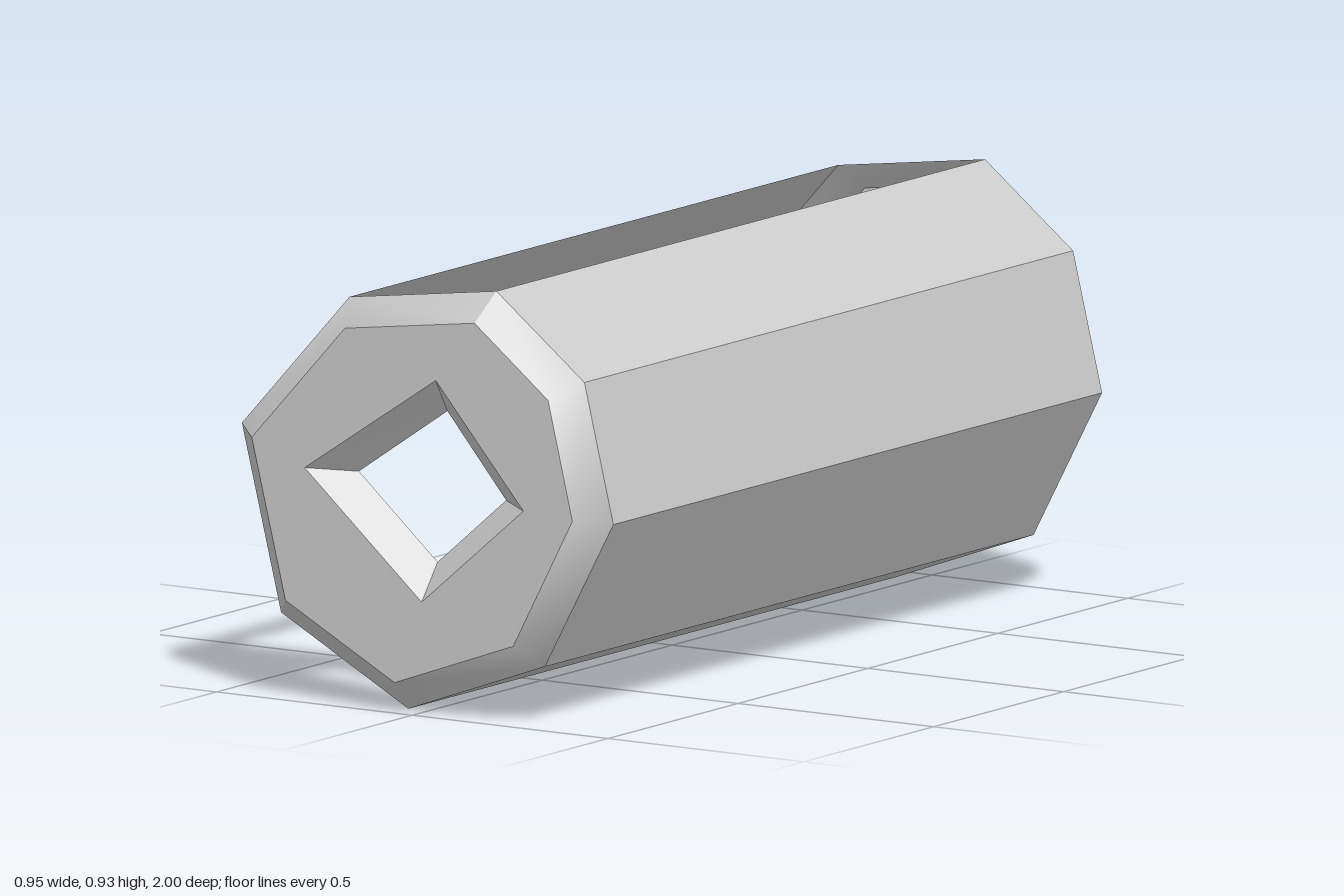
import * as THREE from 'three';
import { toCreasedNormals } from 'three/addons/utils/BufferGeometryUtils.js';

// Cross-sections, clockwise seen from the front
const outer = [[-0.475, 0.576], [-0.2, 0.876], [0.175, 0.926], [0.4, 0.751], [0.474, 0.451], [0.299, 0.126], [-0.05, 0], [-0.375, 0.176]];
const rim = [[-0.41, 0.56], [-0.172, 0.82], [0.159, 0.864], [0.347, 0.716], [0.409, 0.46], [0.258, 0.175], [-0.045, 0.066], [-0.324, 0.216]];
const holeWide = [[-0.275, 0.508], [0.06, 0.73], [0.284, 0.47], [0.024, 0.247]];
const holeNarrow = [[-0.176, 0.501], [0.05, 0.654], [0.2, 0.476], [0.025, 0.325]];
const END = 1, SHOULDER = 0.94;

// Quads between a back ring and a front ring, with some sides left open
function loft(back, zBack, front, zFront, open = []) {
  const pos = [];
  const n = back.length;
  for (let i = 0; i < n; i++) {
    if (open.includes(i)) continue;
    const j = (i + 1) % n;
    const a = [...back[i], zBack], b = [...front[i], zFront];
    const c = [...front[j], zFront], d = [...back[j], zBack];
    pos.push(...a, ...b, ...c, ...a, ...c, ...d);
  }
  const g = new THREE.BufferGeometry();
  g.setAttribute('position', new THREE.Float32BufferAttribute(pos, 3));
  return toCreasedNormals(g, THREE.MathUtils.degToRad(30.5));
}

const toVectors = (ring) => ring.map(([x, y]) => new THREE.Vector2(x, y));

// Flat end plate with the diamond opening
function plate(sign) {
  const shape = new THREE.Shape(toVectors(rim));
  shape.holes.push(new THREE.Path(toVectors(holeWide)));
  const g = new THREE.ShapeGeometry(shape);
  if (sign < 0) {
    const index = g.index.array;
    for (let i = 0; i < index.length; i += 3) {
      [index[i], index[i + 1]] = [index[i + 1], index[i]];
    }
    g.computeVertexNormals();
  }
  return g.translate(0, 0, sign * END);
}

export function createModel() {
  const grey = new THREE.MeshStandardMaterial({ color: 0xcccccc, side: THREE.DoubleSide });
  grey.name = 'light grey';
  const model = new THREE.Group();
  model.name = 'slottedTube';
  const add = (parent, name, geometry) => {
    const mesh = new THREE.Mesh(geometry, grey);
    mesh.name = name;
    parent.add(mesh);
  };

  // Eight-sided shell, open at the top and along two lower sides
  add(model, 'shell', loft(outer, -SHOULDER, outer, SHOULDER, [1, 6, 7]));

  // Bevelled end caps with a tapered diamond socket
  const wide = [...holeWide].reverse(), narrow = [...holeNarrow].reverse();
  for (const sign of [1, -1]) {
    const cap = new THREE.Group();
    cap.name = sign > 0 ? 'frontCap' : 'backCap';
    model.add(cap);
    add(cap, 'endPlate', plate(sign));
    add(cap, 'bevel', sign > 0
      ? loft(outer, SHOULDER, rim, END)
      : loft(rim, -END, outer, -SHOULDER));
    add(cap, 'socket', sign > 0
      ? loft(narrow, SHOULDER, wide, END)
      : loft(wide, -END, narrow, -SHOULDER));
  }
  return model;
}
